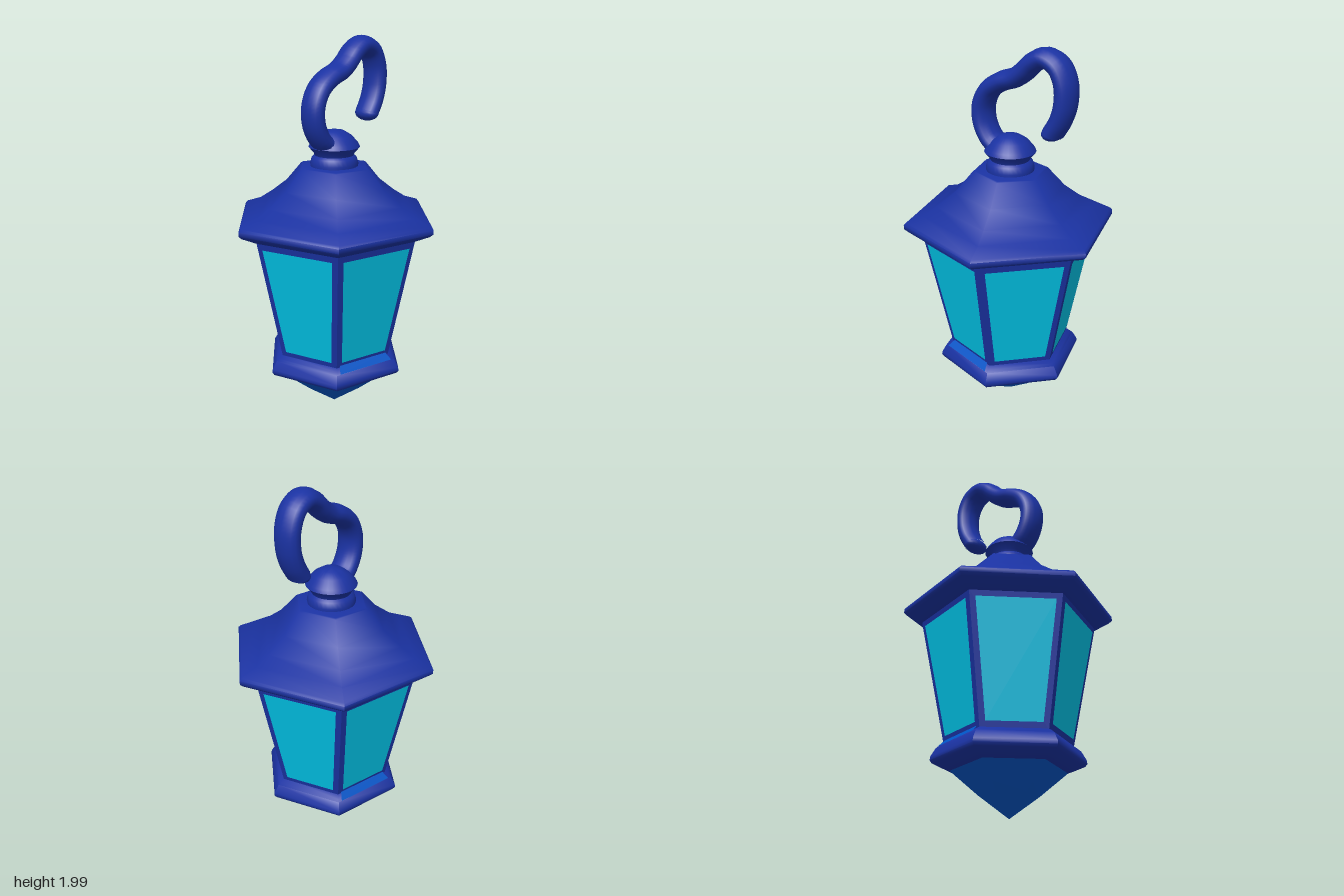
import * as THREE from 'three';
import { toCreasedNormals, mergeGeometries } from 'three/addons/utils/BufferGeometryUtils.js';

const TURN = -0.2; // twist of the hexagon about the vertical axis

export function createModel() {
  const lantern = new THREE.Group();
  lantern.name = 'lantern';

  const makeMaterial = (name, color) => {
    const m = new THREE.MeshStandardMaterial({ color });
    m.name = name;
    return m;
  };
  const navy = makeMaterial('navy metal', 0x1a32a2);
  const glass = makeMaterial('cyan glass', 0x00c4e8);
  const blue = makeMaterial('blue glass', 0x0054c4);

  const add = (name, geometry, material) => {
    const mesh = new THREE.Mesh(geometry, material);
    mesh.name = name;
    lantern.add(mesh);
    return mesh;
  };

  // Turned profile of [radius, height] pairs, listed from bottom to top
  const turned = (profile, sides, crease) => toCreasedNormals(
    new THREE.LatheGeometry(profile.map(([r, y]) => new THREE.Vector2(r, y)), sides, TURN), crease);

  // Corner k of the hexagon with the given radius and height
  const corner = (k, r, y) => {
    const a = TURN + k * Math.PI / 3;
    return new THREE.Vector3(r * Math.sin(a), y, r * Math.cos(a));
  };

  // Flat panel on side k of the hexagon, narrowed at both ends by inset
  const panel = (k, [r0, y0], [r1, y1], inset) => {
    const edge = (r, y) => {
      const a = corner(k, r, y), b = corner(k + 1, r, y);
      const d = b.clone().sub(a).setLength(inset);
      return [a.add(d), b.sub(d)];
    };
    const [bl, br] = edge(r0, y0), [tl, tr] = edge(r1, y1);
    const g = new THREE.BufferGeometry().setFromPoints([bl, br, tr, bl, tr, tl]);
    g.computeVertexNormals();
    return g;
  };

  // Pointed bottom
  add('bottomPoint', turned([[0, 0.005], [0.15, 0.115], [0.29, 0.232]], 6, 0.3), blue);

  // Moulded base
  add('base', turned([
    [0, 0.232], [0.28, 0.228], [0.305, 0.236], [0.375, 0.265], [0.386, 0.28], [0.384, 0.298],
    [0.358, 0.342], [0.345, 0.352], [0.315, 0.372], [0, 0.372],
  ], 6, 0.9), navy);

  // Tapered frame of the body
  add('bodyFrame', turned([[0.321, 0.36], [0.457, 1.02]], 6, 0.5), navy);

  // Glass panes
  const panes = [];
  for (let k = 0; k < 6; k++) panes.push(panel(k, [0.332, 0.395], [0.454, 0.982], 0.031));
  add('panes', mergeGeometries(panes), glass);

  // Blue ledges under the two side panes
  for (const k of [1, 4]) {
    add('ledge', panel(k, [0.36, 0.345], [0.322, 0.379], 0.02), blue);
  }

  // Flared roof
  add('roof', turned([
    [0, 1.01], [0.45, 1.01], [0.475, 1.022], [0.535, 1.05], [0.552, 1.065], [0.552, 1.088], [0.54, 1.1],
    [0.455, 1.13], [0.38, 1.178], [0.285, 1.25], [0.195, 1.352], [0.185, 1.357], [0, 1.357],
  ], 6, 0.9), navy);

  // Collar and domed cap
  add('cap', turned([
    [0.12, 1.345], [0.124, 1.37], [0.115, 1.4], [0.1, 1.412], [0.105, 1.424], [0.131, 1.455],
    [0.122, 1.473], [0.09, 1.51], [0.05, 1.535], [0, 1.543],
  ], 32, 0.7), navy);

  // Hook: a bent bar, broader across than it is deep, leaning slightly sideways
  const path = new THREE.CatmullRomCurve3([
    [0.06, 1.465], [0.11, 1.505], [0.15, 1.58], [0.155, 1.67], [0.115, 1.752], [0.04, 1.804],
    [-0.035, 1.832], [-0.085, 1.868], [-0.14, 1.92], [-0.2, 1.947], [-0.27, 1.918],
    [-0.31, 1.84], [-0.312, 1.74], [-0.288, 1.66], [-0.25, 1.595],
  ].map(([z, y]) => new THREE.Vector3(0, y, z)));
  const lean = new THREE.Matrix4().set(
    1.5, 0, 0.075, 0.003,
    0, 1, 0, 0,
    0, 0, 1, 0,
    0, 0, 0, 1);
  const radius = 0.049;
  add('hook', new THREE.TubeGeometry(path, 64, radius, 16).applyMatrix4(lean), navy);
  for (const t of [0, 1]) {
    const p = path.getPoint(t);
    add('hookEnd', new THREE.SphereGeometry(radius, 16, 12).scale(1, 0.8, 1).translate(p.x, p.y, p.z).applyMatrix4(lean), navy);
  }

  return lantern;
}
